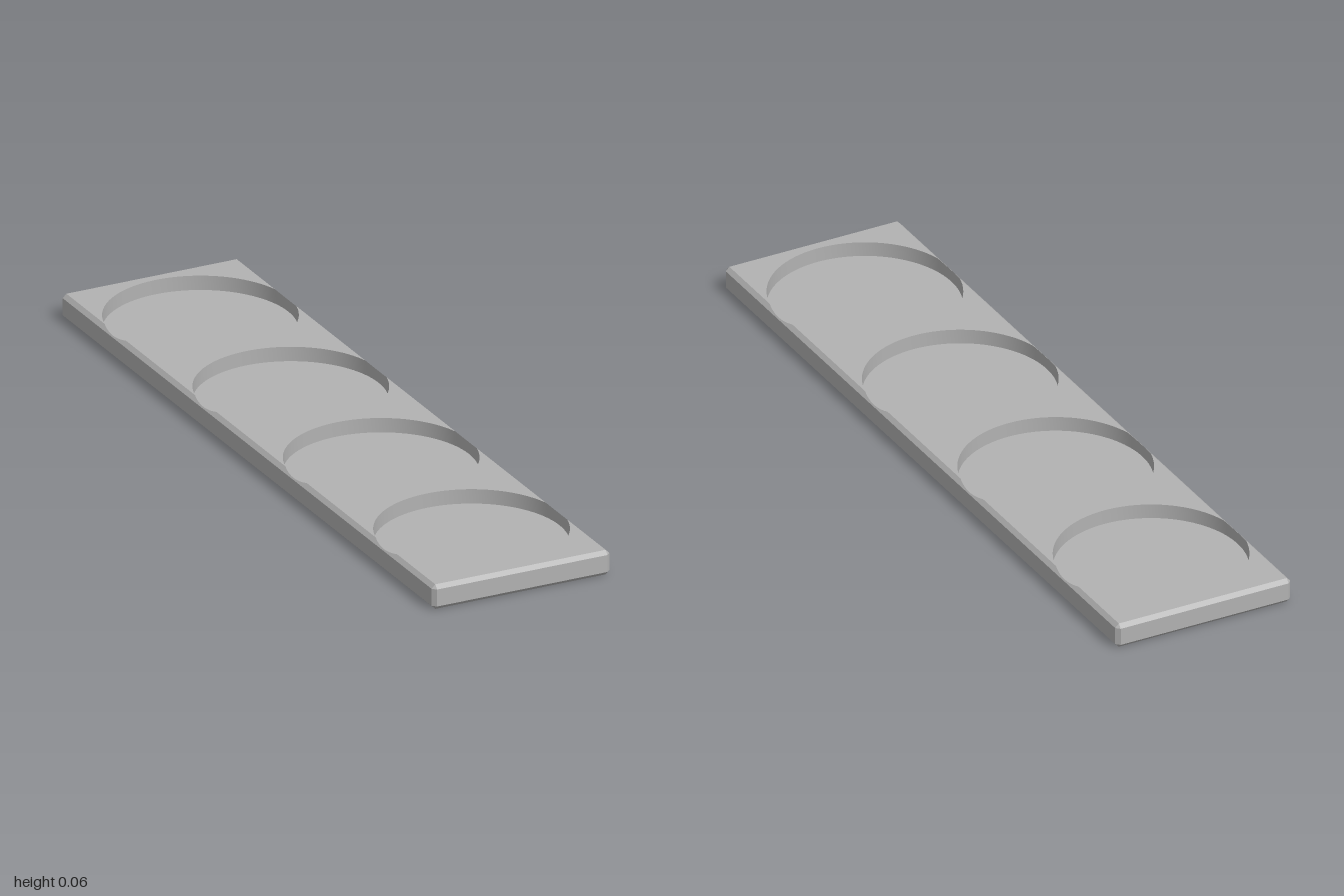
import * as THREE from 'three';

const W = 0.242, L = 1, H = 0.065, C = 0.01; // half width, half length, height, chamfer
const R = 0.239, PITCH = 0.485, FLOOR = 0.027; // round pockets
const XI = W - C, ZI = L - C;
const CENTRES = [-1.5, -0.5, 0.5, 1.5].map((k) => k * PITCH);

// top surface: flat, then falling along the long chamfers
const topY = (x) => H - Math.max(0, Math.abs(x) - XI);

// arc points [x, z]; angle 0 points to +z, PI/2 to +x
function arc(cz, from, to, n) {
  return Array.from({ length: n + 1 }, (_, i) => {
    const t = from + ((to - from) * i) / n;
    return [R * Math.sin(t), cz + R * Math.cos(t)];
  });
}
const T = Math.asin(XI / R); // where a pocket crosses into the chamfer
const ring = (cz) => [
  ...arc(cz, -T, T, 48).slice(0, -1),
  ...arc(cz, T, Math.PI - T, 12).slice(0, -1),
  ...arc(cz, Math.PI - T, Math.PI + T, 48).slice(0, -1),
  ...arc(cz, Math.PI + T, 2 * Math.PI - T, 12).slice(0, -1),
];

// upward-facing sheet from an [x, z] outline, lifted by a height rule
function sheet(points, height) {
  const geo = new THREE.ShapeGeometry(new THREE.Shape(points.map(([x, z]) => new THREE.Vector2(x, -z))));
  geo.rotateX(-Math.PI / 2);
  const p = geo.attributes.position;
  for (let i = 0; i < p.count; i++) p.setY(i, height(p.getX(i)));
  geo.computeVertexNormals();
  return geo;
}

// chamfered outer shell: four rings of eight corners, open on top
function shellGeometry() {
  const outline = (wx, wz) => [
    [wx, ZI], [XI, wz], [-XI, wz], [-wx, ZI],
    [-wx, -ZI], [-XI, -wz], [XI, -wz], [wx, -ZI],
  ];
  const rings = [[XI, ZI, 0], [W, L, C], [W, L, H - C], [XI, ZI, H]].map(([wx, wz, y]) =>
    outline(wx, wz).map(([x, z]) => new THREE.Vector3(x, y, z)));
  const verts = [];
  const tri = (a, b, c) => {
    const area = b.clone().sub(a).cross(c.clone().sub(a)).length();
    if (area > 1e-9) verts.push(...a.toArray(), ...b.toArray(), ...c.toArray());
  };
  for (let r = 0; r < 3; r++) {
    for (let i = 0; i < 8; i++) {
      if (r === 2 && (i === 3 || i === 7)) continue; // long top chamfers are made separately
      const j = (i + 1) % 8;
      const a = rings[r][i], b = rings[r][j], c = rings[r + 1][j], d = rings[r + 1][i];
      tri(a, c, b);
      tri(a, d, c);
    }
  }
  // underside
  const [p, q, s, t] = [0, 3, 4, 7].map((i) => rings[0][i]);
  tri(p, q, s);
  tri(p, s, t);
  const geo = new THREE.BufferGeometry();
  geo.setAttribute('position', new THREE.Float32BufferAttribute(verts, 3));
  geo.computeVertexNormals();
  return geo;
}

// pocket wall facing inward, its rim following the top surface
function wallGeometry(cz) {
  const pts = ring(cz), n = pts.length, verts = [], index = [];
  pts.forEach(([x, z], i) => {
    verts.push(x, FLOOR, z, x, topY(x), z);
    const a = 2 * i, b = 2 * ((i + 1) % n);
    index.push(a, b + 1, b, a, a + 1, b + 1);
  });
  const geo = new THREE.BufferGeometry();
  geo.setAttribute('position', new THREE.Float32BufferAttribute(verts, 3));
  geo.setIndex(index);
  geo.computeVertexNormals();
  return geo;
}

export function createModel() {
  const model = new THREE.Group();
  model.name = 'tray';
  const grey = new THREE.MeshStandardMaterial({ color: 0xb2b2b2, side: THREE.DoubleSide });
  grey.name = 'grey';
  const add = (name, geo) => {
    const mesh = new THREE.Mesh(geo, grey);
    mesh.name = name;
    model.add(mesh);
  };

  add('outerShell', shellGeometry());

  // flat top pieces between neighbouring pockets and at both ends
  for (let i = 0; i <= CENTRES.length; i++) {
    const back = i === 0 ? [[-XI, -ZI], [XI, -ZI]] : arc(CENTRES[i - 1], -T, T, 48);
    const front = i === CENTRES.length ? [[XI, ZI], [-XI, ZI]]
      : arc(CENTRES[i], Math.PI - T, Math.PI + T, 48);
    add('topFace', sheet([...back, ...front], topY));
  }

  // long top chamfers, notched by the pockets
  for (const side of [1, -1]) {
    const edge = [[W, ZI], [W, -ZI], [XI, -ZI]];
    for (const cz of CENTRES) edge.push(...arc(cz, Math.PI - T, T, 12));
    edge.push([XI, ZI]);
    add(side > 0 ? 'leftChamfer' : 'rightChamfer', sheet(edge.map(([x, z]) => [side * x, z]), topY));
  }

  // pockets
  for (const cz of CENTRES) {
    add('pocketWall', wallGeometry(cz));
    add('pocketFloor', sheet(ring(cz), () => FLOOR));
  }
  return model;
}
